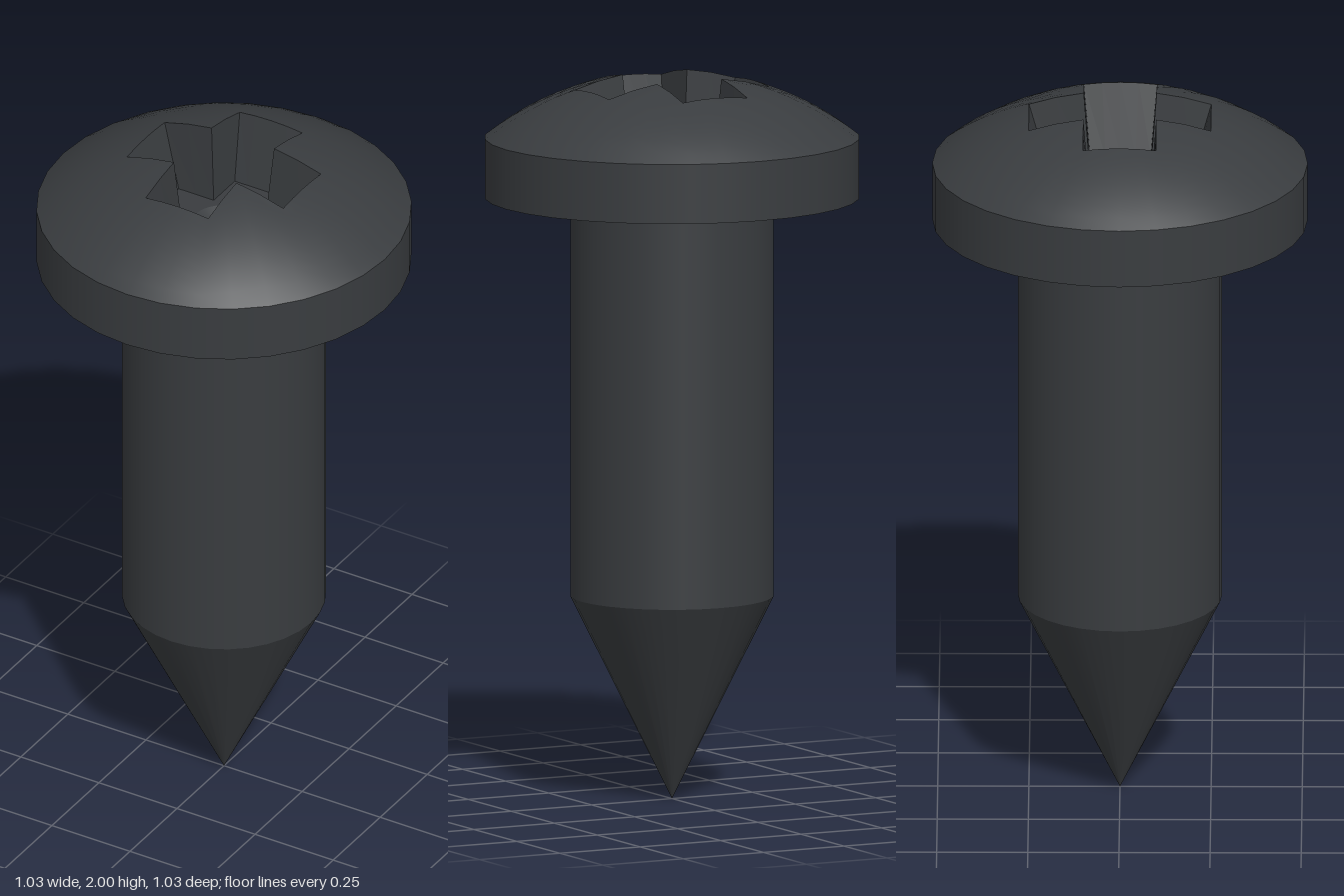
import * as THREE from 'three';

const SIDES = 32;
const HEAD_R = 0.515, RIM_Y = 1.835, HEAD_Y = 1.67, SHAFT_R = 0.28, CONE_Y = 0.565;
const FLOOR_Y = 1.78;

// Height of the spherical dome at distance r from the axis
const domeY = (r) => RIM_Y - Math.sqrt(0.83 ** 2 - HEAD_R ** 2) + Math.sqrt(0.83 ** 2 - r * r);

// One ring of [x, z] points: a circle
const circle = (r) => Array.from({ length: SIDES }, (_, k) => {
  const a = (k / SIDES) * Math.PI * 2;
  return [r * Math.sin(a), r * Math.cos(a)];
});

// One ring of [x, z] points: a cross with arms of length a and half-width w
const cross = (a, w) => {
  const quarter = [[0, a], [w / 2, a], [w, a], [w, (a + w) / 2], [w, w], [(a + w) / 2, w], [a, w], [a, w / 2]];
  return Array.from({ length: SIDES }, (_, k) => {
    let [x, z] = quarter[k % 8];
    for (let q = 0; q < Math.floor(k / 8); q++) [x, z] = [z, -x];
    return [x, z];
  });
};

const at = (ring, y) => ring.map(([x, z]) => [x, typeof y === 'function' ? y(Math.hypot(x, z)) : y, z]);

// Skin through rings listed from the axis outwards
function loft(rings, flat = false) {
  const index = [];
  for (let i = 0; i < rings.length - 1; i++) {
    for (let k = 0; k < SIDES; k++) {
      const n = (k + 1) % SIDES;
      const a = i * SIDES + k, b = a + SIDES, c = (i + 1) * SIDES + n, d = i * SIDES + n;
      index.push(a, b, c, a, c, d);
    }
  }
  let geo = new THREE.BufferGeometry();
  geo.setAttribute('position', new THREE.Float32BufferAttribute(rings.flat(2), 3));
  geo.setIndex(index);
  if (flat) geo = geo.toNonIndexed();
  geo.computeVertexNormals();
  return geo;
}

export function createModel() {
  const group = new THREE.Group();
  const material = new THREE.MeshStandardMaterial({ color: 0x393c3f });
  const add = (name, geo, y = 0) => {
    const mesh = new THREE.Mesh(geo, material);
    mesh.name = name;
    mesh.position.y = y;
    group.add(mesh);
    return mesh;
  };

  // Cross-shaped drive recess with tapered walls and a shallow conical centre
  const mouth = cross(0.25, 0.1), base = cross(0.195, 0.083);
  add('recessDimple', loft([at(circle(0), FLOOR_Y - 0.04), at(circle(0.09), FLOOR_Y)]));
  add('recessFloor', loft([at(circle(0.09), FLOOR_Y), at(base, FLOOR_Y)], true));
  add('recessWalls', loft([at(base, FLOOR_Y), at(mouth, domeY)], true));

  // Dome: blends from the cross outline out to the round rim
  const rim = circle(HEAD_R), rings = [], STEPS = 8;
  for (let i = 0; i <= STEPS; i++) {
    const t = i / STEPS;
    const ring = mouth.map(([x, z], k) => [x + (rim[k][0] - x) * t, z + (rim[k][1] - z) * t]);
    rings.push(at(ring, i === STEPS ? RIM_Y : domeY));
  }
  add('headDome', loft(rings));

  // Head edge and underside
  const edgeH = RIM_Y - HEAD_Y;
  add('headEdge', new THREE.CylinderGeometry(HEAD_R, HEAD_R, edgeH, SIDES, 1, true), HEAD_Y + edgeH / 2);
  add('headUnderside', loft([at(rim, HEAD_Y), at(circle(SHAFT_R), HEAD_Y)]));

  // Shaft and pointed tip
  const shaftH = HEAD_Y - CONE_Y;
  add('shaft', new THREE.CylinderGeometry(SHAFT_R, SHAFT_R, shaftH, SIDES, 1, true), CONE_Y + shaftH / 2);
  add('tip', new THREE.CylinderGeometry(SHAFT_R, 0, CONE_Y, SIDES, 1, true), CONE_Y / 2);

  return group;
}
